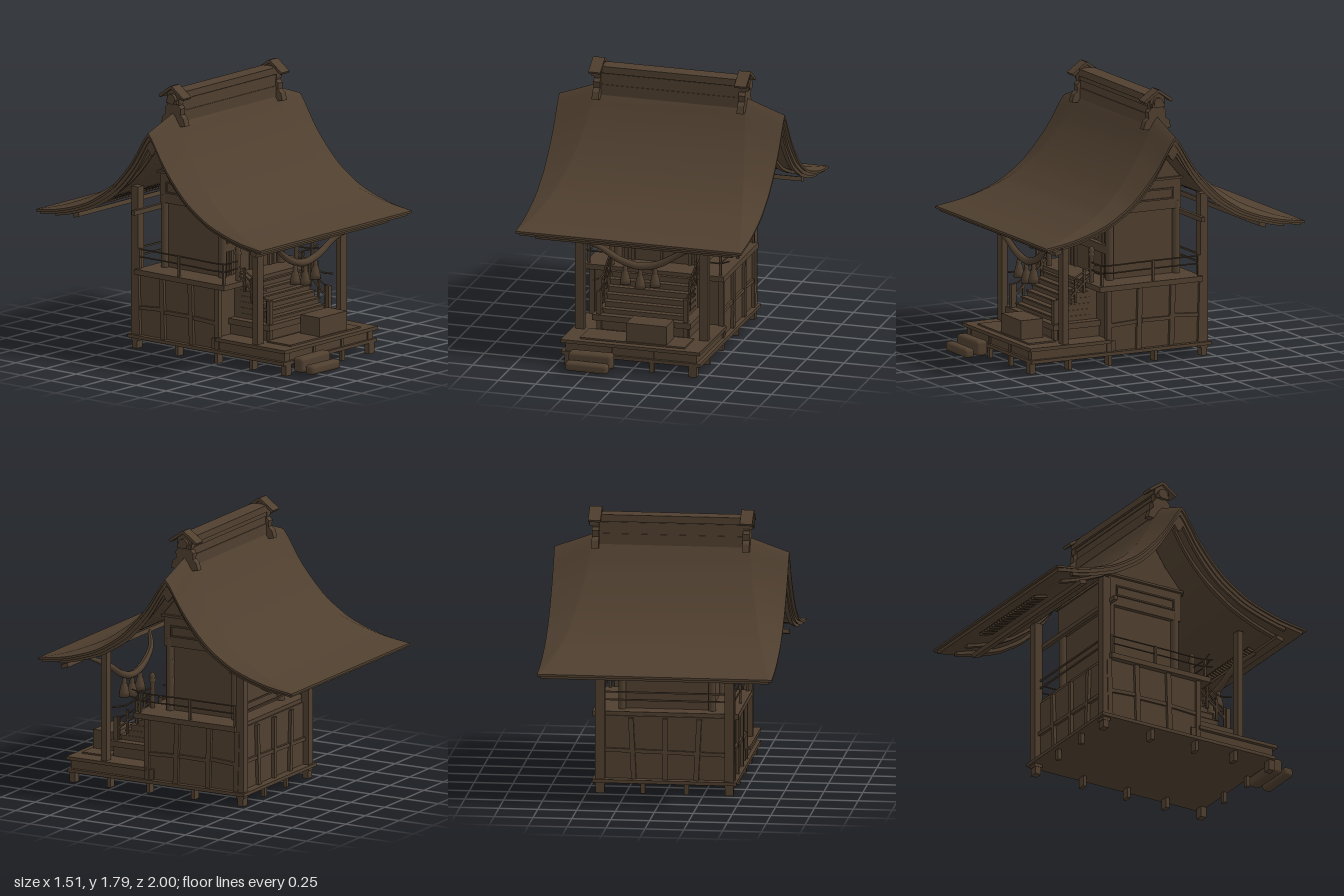
import * as THREE from 'three';
import { RoundedBoxGeometry } from 'three/addons/geometries/RoundedBoxGeometry.js';

const wood = new THREE.MeshStandardMaterial({ color: 0x4f3f2f });
wood.name = 'weathered brown';
const RIDGE_Z = -0.065;
const V3 = (x, y, z) => new THREE.Vector3(x, y, z);

// Roof slope: distance from the ridge, height
const slope = new THREE.CatmullRomCurve3([
  [0, 1.61], [0.03, 1.57], [0.14, 1.385], [0.31, 1.18], [0.42, 1.09],
  [0.52, 1.025], [0.74, 0.933], [0.935, 0.883],
].map(([d, y]) => V3(d, y, 0)));

export function createModel() {
  const model = new THREE.Group();
  const add = (name, geo, x = 0, y = 0, z = 0, parent = model) => {
    const m = new THREE.Mesh(geo, wood);
    m.name = name;
    m.position.set(x, y, z);
    parent.add(m);
    return m;
  };
  const box = (name, w, h, d, x, y, z) => add(name, new THREE.BoxGeometry(w, h, d), x, y, z);
  // Box given by its limits
  const span = (name, x0, x1, y0, y1, z0, z1) =>
    box(name, x1 - x0, y1 - y0, z1 - z0, (x0 + x1) / 2, (y0 + y1) / 2, (z0 + z1) / 2);
  const tube = (name, pts, r, seg = 12) =>
    add(name, new THREE.TubeGeometry(new THREE.CatmullRomCurve3(pts.map((p) => V3(...p))), seg, r, 6));
  const bar = (name, a, b, t) => {
    const p = V3(...a), q = V3(...b);
    const m = box(name, t, t, p.distanceTo(q), 0, 0, 0);
    m.position.copy(p).add(q).multiplyScalar(0.5);
    m.lookAt(q);
    return m;
  };

  // ---- Curved roof sheets; the gable edges droop outside a slanting crease
  const crease = (d) => 0.5 + 0.25 * d / 0.935;
  const sheet = (name, columns, drop, thick, end = 1) => {
    for (const s of [1, -1]) {
      const n = columns(0).length - 1;
      const geo = new THREE.BoxGeometry(n, 1, 1, n, 1, 24);
      const p = geo.attributes.position;
      for (let i = 0; i < p.count; i++) {
        const t = (p.getZ(i) * s + 0.5) * end;
        const c = slope.getPoint(t), g = slope.getTangent(t);
        const x = columns(c.x)[Math.round(p.getX(i) + n / 2)];
        const steep = Math.min(1.6, 1 / Math.abs(g.x));
        const low = (drop + (p.getY(i) > 0 ? 0 : thick)) * steep;
        const y = c.y - 0.36 * Math.max(0, Math.abs(x) - crease(c.x)) - low;
        p.setXYZ(i, x, y, RIDGE_Z + s * c.x);
      }
      geo.computeVertexNormals();
      add(name, geo);
    }
  };
  const wide = (w) => (d) => {
    const c = Math.min(crease(d), w - 0.004);
    return [-w, -c, -c + 0.012, c - 0.012, c, w];
  };
  sheet('roofSheet', wide(0.755), 0, 0.014);
  sheet('roofUnderlayer', wide(0.735), 0.014, 0.022, 0.985);
  for (const s of [1, -1]) {
    const strip = (a, b) => () => (s > 0 ? [a, b] : [-b, -a]);
    sheet('bargeBoard', strip(0.69, 0.72), 0.034, 0.022, 0.9);
    sheet('gableRafter', strip(0.56, 0.59), 0.034, 0.02, 0.9);
    // Hanging gable ornament
    const pend = new THREE.Shape([[-0.03, 0.05], [-0.04, 0], [-0.02, -0.04], [0, -0.06],
      [0.02, -0.04], [0.04, 0], [0.03, 0.05]].map((a) => new THREE.Vector2(...a)));
    const o = add('gablePendant', new THREE.ExtrudeGeometry(pend, { depth: 0.02, bevelEnabled: false }),
      s * 0.7, 1.42, RIDGE_Z);
    o.rotation.y = s * Math.PI / 2;
  }

  // ---- Ridge with end ornaments
  span('ridgeBase', -0.5, 0.5, 1.55, 1.62, RIDGE_Z - 0.045, RIDGE_Z + 0.045);
  span('ridgeBody', -0.49, 0.49, 1.6, 1.7, RIDGE_Z - 0.04, RIDGE_Z + 0.04);
  span('ridgeCap', -0.5, 0.5, 1.7, 1.745, RIDGE_Z - 0.055, RIDGE_Z + 0.055);
  span('ridgeBeam', -0.525, 0.525, 1.67, 1.695, RIDGE_Z - 0.045, RIDGE_Z + 0.045);
  const halfEnd = [[0.05, 1.735], [0.052, 1.68], [0.045, 1.66], [0.065, 1.64], [0.06, 1.6],
    [0.085, 1.58], [0.1, 1.53], [0.06, 1.525], [0.02, 1.58]];
  const endShape = new THREE.Shape([[0, 1.77], ...halfEnd, ...halfEnd.map(([a, b]) => [-a, b]).reverse()]
    .map((a) => new THREE.Vector2(...a)));
  for (const s of [1, -1]) {
    const e = add('ridgeEnd', new THREE.ExtrudeGeometry(endShape, { depth: 0.045, bevelEnabled: false }),
      s * 0.485 - 0.0225, 0, RIDGE_Z);
    e.rotation.y = Math.PI / 2;
    for (const side of [1, -1]) {
      const h = box('ridgeEndHood', 0.08, 0.018, 0.122, s * 0.488, 1.744, RIDGE_Z + side * 0.049);
      h.rotation.x = side * 0.62;
    }
    const disc = add('ridgeDisc', new THREE.CylinderGeometry(0.033, 0.033, 0.03, 20), s * 0.515, 1.7, RIDGE_Z);
    disc.rotation.z = Math.PI / 2;
  }

  // ---- Eave beams and rafter ends
  for (const s of [1, -1]) {
    const b = box('eaveBeam', 1.32, 0.028, 0.05, 0, s > 0 ? 0.825 : 0.865, RIDGE_Z + s * (s > 0 ? 0.795 : 0.68));
    b.rotation.x = s * 0.3;
    for (let i = 0; i < 23; i++) {
      const r = box('rafterEnd', 0.012, 0.016, 0.1, -0.33 + i * 0.03, 0.86, RIDGE_Z + s * 0.8);
      r.rotation.x = s * 0.27;
    }
  }
  span('backTieBeam', -0.5, 0.5, 0.885, 0.915, -0.415, -0.39);

  // ---- Ground frame and front deck
  span('groundFrame', -0.465, 0.465, 0.07, 0.092, -0.48, 0.82);
  span('deckCore', -0.44, 0.44, 0.09, 0.16, 0.2, 0.8);
  span('frontDeck', -0.465, 0.465, 0.15, 0.172, 0.25, 0.83);
  span('deckMat', -0.35, 0.35, 0.17, 0.182, 0.585, 0.78);
  for (const z of [0.8, 0.53, 0.24, -0.09, -0.44]) {
    const corner = z === 0.8 || z === -0.44;
    for (const s of [1, -1]) {
      box('foot', 0.055, 0.08, corner ? 0.04 : 0.025, s * 0.415, 0.04, z);
      if (corner) box('foot', 0.03, 0.08, 0.025, s * 0.14, 0.04, z);
    }
  }
  for (const s of [1, -1]) {
    span('deckStud', s * 0.14 - 0.012, s * 0.14 + 0.012, 0.08, 0.15, 0.795, 0.808);
    span('deckStud', s * 0.415 - 0.025, s * 0.415 + 0.025, 0.08, 0.15, 0.795, 0.808);
  }

  // ---- Panelled base and veranda floor
  span('baseWall', -0.43, 0.43, 0.09, 0.5, -0.425, 0.25);
  span('verandaFloor', -0.47, 0.47, 0.49, 0.525, -0.415, 0.33);
  for (const s of [1, -1]) {
    const x = s * 0.433;
    [0.25, 0.025, -0.2, -0.42].forEach((z, i) =>
      bar('sideStud', [x, 0.09, z + (i % 2 ? 0.012 : 0)], [x, 0.49, z - (i === 2 ? 0.012 : 0)], 0.034));
    [[0.24, 0.04], [0.01, -0.19], [-0.21, -0.41]].forEach(([a, b], i) =>
      bar('sideRail', [x, 0.26 + i * 0.012, a], [x, 0.27, b], 0.024));
    // Posts
    span('backPost', s * 0.415 - 0.03, s * 0.415 + 0.03, 0.05, 1.06, -0.465, -0.41);
    span('frontPost', s * 0.415 - 0.03, s * 0.415 + 0.03, 0.17, 0.92, 0.545, 0.585);
  }
  [-0.2, 0, 0.2].forEach((x, i) => bar('backStud', [x, 0.09, -0.43], [x + 0.02 * (i - 1), 0.49, -0.43], 0.032));
  bar('backRail', [-0.41, 0.26, -0.43], [0.41, 0.28, -0.43], 0.024);

  // ---- Stairs
  span('stairBase', -0.31, 0.31, 0.17, 0.25, 0.25, 0.55);
  span('stairLedge', -0.33, 0.33, 0.24, 0.278, 0.25, 0.59);
  for (let i = 0; i < 6; i++) {
    const y = 0.31 + i * 0.038;
    span('stairStep', -0.27, 0.27, y - 0.04, y, 0.25, 0.54 - i * 0.038);
    span('stepNosing', -0.275, 0.275, y - 0.01, y, 0.3, 0.546 - i * 0.038);
  }
  const newel = new THREE.LatheGeometry([[0, 0], [0.017, 0], [0.017, 0.19], [0.022, 0.195], [0.022, 0.21],
    [0.016, 0.215], [0.02, 0.235], [0.012, 0.25], [0, 0.26]].map((a) => new THREE.Vector2(...a)), 12);
  for (const s of [1, -1]) {
    const x = s * 0.29;
    add('newelPost', newel, x, 0.5, 0.295);
    box('stairFootPost', 0.03, 0.26, 0.03, x, 0.3, 0.56);
    bar('stairRail', [x, 0.35, 0.55], [x, 0.56, 0.31], 0.012);
    tube('stairHandrail', [[s * 0.33, 0.5, 0.57], [x, 0.51, 0.5], [x, 0.57, 0.4], [x, 0.62, 0.3]], 0.006);
    tube('stairMidRail', [[x, 0.42, 0.55], [x, 0.47, 0.46], [x, 0.56, 0.36], [x, 0.58, 0.3]], 0.005);
    for (const [z, y] of [[0.54, 0.28], [0.48, 0.33], [0.41, 0.4], [0.35, 0.46]])
      span('baluster', x - 0.007, x + 0.007, y, y + 0.155, z - 0.007, z + 0.007);

    // Veranda railing, with tips sweeping up past the corners
    for (const y of [0.605, 0.655]) {
      tube('sideHandrail', [[s * 0.44, y, -0.41], [s * 0.44, y, 0], [s * 0.44, y, 0.28], [s * 0.44, y + 0.015, 0.36]], 0.005);
      tube('frontHandrail', [[s * 0.29, y, 0.3], [s * 0.38, y, 0.3], [s * 0.44, y, 0.3], [s * 0.5, y + 0.02, 0.3]], 0.005);
    }
    for (const z of [0.3, -0.07, -0.4]) span('railPost', s * 0.44 - 0.008, s * 0.44 + 0.008, 0.52, 0.66, z - 0.008, z + 0.008);
  }
  for (const y of [0.605, 0.655]) bar('backHandrail', [-0.41, y, -0.425], [0.41, y, -0.425], 0.01);

  // ---- Sanctuary
  span('sanctuaryWall', -0.28, 0.28, 0.52, 1.0, -0.3, 0.15);
  span('upperBand', -0.31, 0.31, 0.95, 1.15, -0.34, 0.2);
  const gable = [[0.285, 1.14], [0.15, 1.3], [0.06, 1.44], [0, 1.53]];
  const gableShape = new THREE.Shape([...gable, ...gable.slice(0, -1).map(([a, b]) => [-a, b]).reverse()]
    .map((a) => new THREE.Vector2(...a)));
  const g = add('gableWall', new THREE.ExtrudeGeometry(gableShape, { depth: 0.62, bevelEnabled: false }),
    -0.31, 0, RIDGE_Z);
  g.rotation.y = Math.PI / 2;
  for (const s of [1, -1]) {
    for (const z of [0.165, -0.315]) {
      add('sanctuaryPost', new THREE.CylinderGeometry(0.025, 0.025, 0.48, 14), s * 0.29, 0.76, z);
    }
    const side = (name, y0, y1, z0, z1, t) =>
      span(name, Math.min(s * 0.305, s * t), Math.max(s * 0.305, s * t), y0, y1, z0, z1);
    side('bandBeam', 1.145, 1.16, -0.345, 0.21, 0.33);
    for (const y of [1.015, 1.08]) side('panelFrame', y, y + 0.01, -0.285, 0.15, 0.32);
    for (const z of [-0.285, 0.14]) side('panelFrame', 1.015, 1.09, z, z + 0.01, 0.32);
    for (const x of [0.19, 0.235]) span('doorFrame', s * x - 0.012, s * x + 0.012, 0.52, 0.95, 0.145, 0.165);
  }
  span('doorLintel', -0.3, 0.3, 0.69, 0.745, 0.14, 0.185);
  span('doorHead', -0.3, 0.3, 0.83, 0.86, 0.14, 0.185);
  span('doorDivider', -0.008, 0.008, 0.52, 0.7, 0.145, 0.16);
  tube('carvedFrieze', [[-0.13, 0.76, 0.165], [-0.08, 0.79, 0.17], [0, 0.77, 0.175], [0.08, 0.79, 0.17], [0.13, 0.76, 0.165]], 0.012, 24);

  // ---- Sacred rope, thick in the middle, with straw tassels
  const ropeGeo = new THREE.TubeGeometry(new THREE.CatmullRomCurve3([[-0.39, 0.825, 0.71], [-0.27, 0.755, 0.63],
    [-0.13, 0.67, 0.612], [0, 0.64, 0.61], [0.13, 0.67, 0.612], [0.27, 0.755, 0.63], [0.39, 0.825, 0.71]]
    .map((p) => V3(...p))), 40, 0.024, 10);
  const rp = ropeGeo.attributes.position;
  const path = ropeGeo.parameters.path;
  for (let i = 0; i < rp.count; i++) {
    const t = Math.floor(i / 11) / 40;
    const c = path.getPointAt(t), v = V3().fromBufferAttribute(rp, i);
    v.sub(c).multiplyScalar(0.5 + 0.5 * Math.sin(Math.PI * t)).add(c);
    rp.setXYZ(i, v.x, v.y, v.z);
  }
  ropeGeo.computeVertexNormals();
  add('sacredRope', ropeGeo);
  const tassel = new THREE.LatheGeometry([[0, 0], [0.036, 0], [0.032, 0.03], [0.022, 0.075], [0.014, 0.085],
    [0.017, 0.095], [0.01, 0.13], [0, 0.13]].map((a) => new THREE.Vector2(...a)), 14);
  for (const x of [-0.1, 0, 0.1]) add('strawTassel', tassel, x, x ? 0.515 : 0.495, 0.612);

  // ---- Offering box and stepping stones
  span('offeringBox', -0.045, 0.225, 0.172, 0.305, 0.61, 0.77);
  const stone = (w, h, d, x, y, z, tilt) => {
    add('steppingStone', new RoundedBoxGeometry(w, h, d, 3, 0.022), x, y, z).rotation.z = tilt;
  };
  stone(0.29, 0.1, 0.08, -0.245, 0.073, 0.875, 0.01);
  stone(0.285, 0.062, 0.068, -0.245, 0.05, 0.964, -0.01);
  return model;
}
